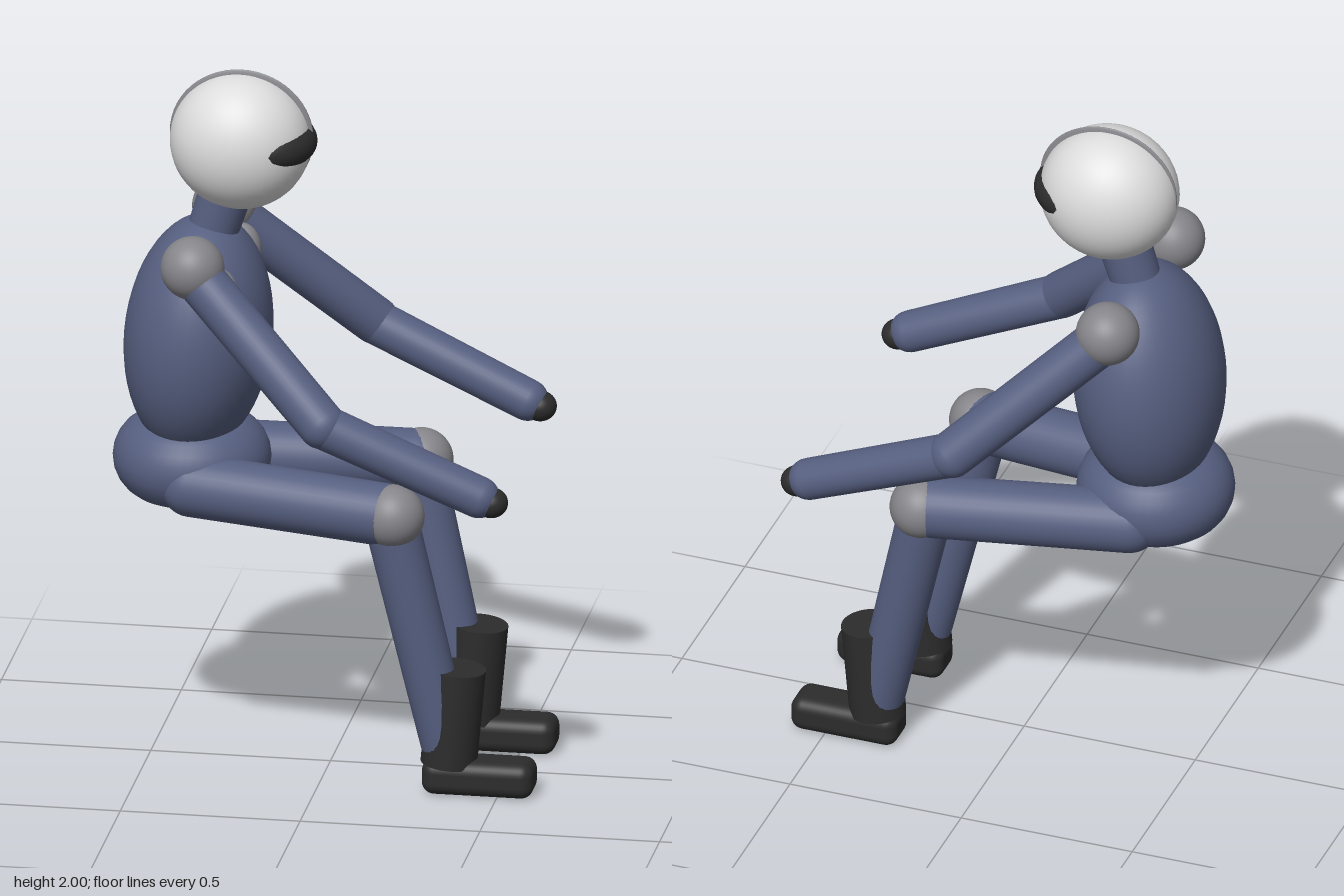
import * as THREE from 'three';
import { RoundedBoxGeometry } from 'three/addons/geometries/RoundedBoxGeometry.js';

const material = (name, color) => {
  const m = new THREE.MeshStandardMaterial({ color });
  m.name = name;
  return m;
};

export function createModel() {
  const suit = material('blue suit', 0x565f80);
  const shell = material('helmet white', 0xdcdcdc);
  const pad = material('pad grey', 0x85858a);
  const black = material('boot black', 0x2c2c2c);

  const model = new THREE.Group();
  model.name = 'seatedRider';

  const add = (name, geometry, mat, pos = [0, 0, 0]) => {
    const mesh = new THREE.Mesh(geometry, mat);
    mesh.name = name;
    mesh.position.set(...pos);
    model.add(mesh);
    return mesh;
  };

  const ellipsoid = (name, pos, radii, mat) =>
    add(name, new THREE.SphereGeometry(1, 40, 28).scale(...radii), mat, pos);

  // Tapered limb from a to b, with round or flat ends
  const limb = (name, a, b, ra, rb, mat, round = true) => {
    const from = new THREE.Vector3(...a), dir = new THREE.Vector3(...b).sub(from);
    const length = dir.length(), points = [];
    if (round) {
      const n = 10;
      for (let i = 0; i <= n; i++) {
        const t = (i / n) * Math.PI / 2;
        points.push(new THREE.Vector2(ra * Math.sin(t), -ra * Math.cos(t)));
      }
      for (let i = 0; i <= n; i++) {
        const t = (i / n) * Math.PI / 2;
        points.push(new THREE.Vector2(rb * Math.cos(t), length + rb * Math.sin(t)));
      }
    }
    const geometry = round
      ? new THREE.LatheGeometry(points, 32)
      : new THREE.CylinderGeometry(rb, ra, length, 32).translate(0, length / 2, 0);
    const mesh = add(name, geometry, mat, a);
    mesh.quaternion.setFromUnitVectors(new THREE.Vector3(0, 1, 0), dir.normalize());
    return mesh;
  };

  // Helmet with crest and wraparound visor
  ellipsoid('helmet', [-0.25, 1.795, 0], [0.195, 0.192, 0.172], shell);
  ellipsoid('helmetCrest', [-0.247, 1.81, 0], [0.2, 0.19, 0.015], pad);
  add('visor', new THREE.TorusGeometry(0.1, 0.052, 20, 48).rotateX(Math.PI / 2), black, [-0.19, 1.798, 0]);

  // Neck, torso and pelvis
  limb('neck', [-0.33, 1.52, 0], [-0.28, 1.68, 0], 0.07, 0.075, suit, false);
  ellipsoid('torso', [-0.367, 1.225, 0], [0.203, 0.345, 0.255], suit).rotation.z = -0.09;
  add('pelvis', new THREE.TorusGeometry(0.098, 0.12, 24, 48).rotateX(Math.PI / 2), suit, [-0.385, 0.872, 0]);
  ellipsoid('pelvisCore', [-0.385, 0.872, 0], [0.12, 0.119, 0.12], suit);

  for (const s of [1, -1]) {
    const side = s > 0 ? 'near' : 'far';
    const p = (x, y, z) => [x, y, s * z];

    // Arm
    ellipsoid(side + 'ChestPad', p(-0.28, 1.41, 0.19), [0.055, 0.075, 0.045], pad);
    ellipsoid(side + 'Shoulder', p(-0.34, 1.508, 0.26), [0.088, 0.088, 0.088], pad);
    limb(side + 'UpperArm', p(-0.32, 1.48, 0.265), p(0.05, 1.135, 0.435), 0.068, 0.066, suit);
    limb(side + 'Forearm', p(0.06, 1.127, 0.433), p(0.48, 0.94, 0.402), 0.062, 0.058, suit);
    ellipsoid(side + 'Hand', p(0.515, 0.925, 0.4), [0.046, 0.042, 0.046], black);

    // Leg
    limb(side + 'Thigh', p(-0.36, 0.835, 0.145), p(0.195, 0.81, 0.228), 0.089, 0.087, suit);
    ellipsoid(side + 'Knee', p(0.213, 0.81, 0.236), [0.088, 0.088, 0.086], pad);
    limb(side + 'Shin', p(0.208, 0.78, 0.218), p(0.352, 0.145, 0.186), 0.075, 0.07, suit);

    // Boot
    limb(side + 'BootShaft', p(0.36, 0.085, 0.183), p(0.385, 0.36, 0.183), 0.078, 0.078, black, false);
    add(side + 'BootFoot', new RoundedBoxGeometry(0.31, 0.1, 0.127, 4, 0.035), black, p(0.445, 0.052, 0.183));
  }
  return model;
}
